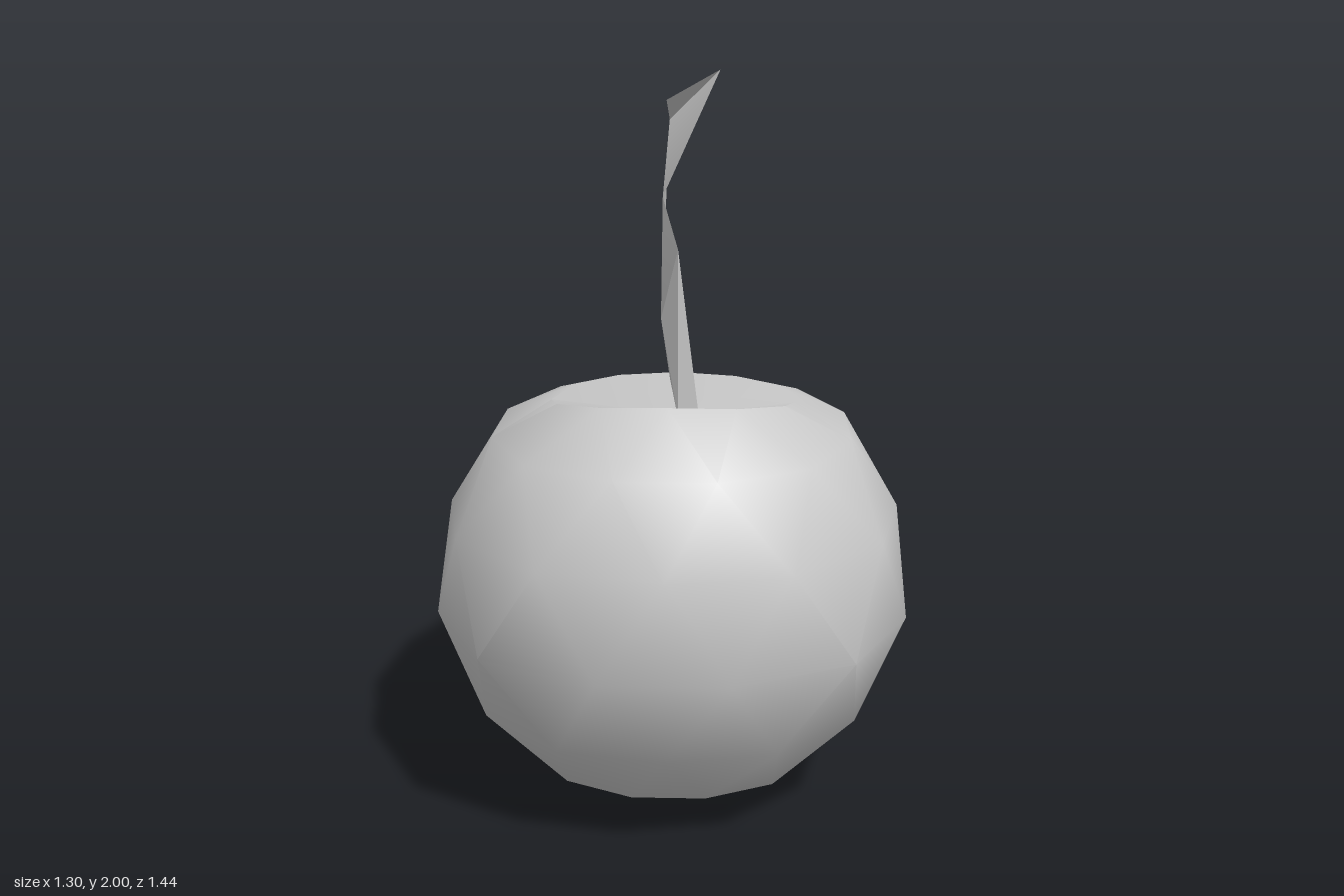
import * as THREE from 'three';
import { toCreasedNormals } from 'three/addons/utils/BufferGeometryUtils.js';

const grey = () => new THREE.MeshStandardMaterial({ color: 0xcccccc, side: THREE.DoubleSide });

function meshFrom(name, points, faces, crease) {
  const geo = new THREE.BufferGeometry();
  geo.setAttribute('position', new THREE.Float32BufferAttribute(points.flat(), 3));
  geo.setIndex(faces.flat());
  const mesh = new THREE.Mesh(toCreasedNormals(geo, crease), grey());
  mesh.name = name;
  return mesh;
}

// Faceted fruit: staggered oval rings, with a shallow hollow at the top
function makeFruit() {
  const sides = 12;
  // height at [front, side, back], half width, front reach, back reach
  const rings = [
    [0.03, 0.01, 0.01, 0.16, 0.22, 0.23],
    [0.13, 0.11, 0.12, 0.385, 0.43, 0.42],
    [0.33, 0.31, 0.32, 0.565, 0.61, 0.6],
    [0.6, 0.57, 0.59, 0.665, 0.74, 0.735],
    [0.88, 0.84, 0.8, 0.63, 0.73, 0.69],
    [1.11, 1.07, 1.04, 0.5, 0.635, 0.635],
    [1.245, 1.14, 1.12, 0.34, 0.43, 0.37],
  ];
  const points = [[0, 0, 0]];
  const faces = [];
  rings.forEach(([front, side, back, width, zFront, zBack], r) => {
    for (let i = 0; i < sides; i++) {
      const a = ((i + (r % 2) / 2) / sides) * Math.PI * 2;
      const s = Math.sin(a);
      const end = s > 0 ? front : back;
      // the front corners are fuller than the back ones
      const full = 1 + (s > 0 ? 0.05 : 0.01) * Math.sin(2 * a) ** 2;
      points.push([
        Math.cos(a) * width * full,
        side + (end - side) * Math.abs(s),
        s * (s > 0 ? zFront : zBack) * full,
      ]);
    }
  });
  const at = (r, i) => 1 + r * sides + (i + sides) % sides;
  const hollow = points.push([0.02, 1.07, -0.1]) - 1;
  const last = rings.length - 1;
  for (let i = 0; i < sides; i++) {
    faces.push([0, at(0, i), at(0, i + 1)]);
    faces.push([hollow, at(last, i + 1), at(last, i)]);
    for (let r = 0; r < last; r++) {
      // the stagger decides which way the triangles lean
      const k = r % 2;
      faces.push([at(r, i), at(r + 1, i + k), at(r, i + 1)]);
      faces.push([at(r + 1, i), at(r + 1, i + 1), at(r, i + 1 - k)]);
    }
  }
  return meshFrom('fruit', points, faces, 0.7);
}

// Twisted stem: a folded strip of triangles
function makeStem() {
  const points = [
    [0.07, 1.06, -0.09],  // 0 base right
    [0.01, 1.06, -0.09],  // 1 base front
    [-0.02, 1.1, -0.33],  // 2 base back
    [-0.04, 1.34, -0.14], // 3 lower fold
    [0.01, 1.55, -0.08],  // 4 knee
    [-0.04, 1.66, -0.28], // 5 upper fold
    [-0.03, 1.84, -0.56], // 6 end back
    [0.12, 2, -0.44],     // 7 tip
    [-0.03, 1.93, -0.31], // 8 end front
  ];
  const faces = [
    [0, 2, 3], [1, 3, 2], [0, 3, 4], [1, 4, 3], [0, 4, 1],
    [4, 3, 5], [3, 6, 5], [5, 6, 7], [6, 8, 7],
  ];
  return meshFrom('stem', points, faces, 0.5);
}

export function createModel() {
  const group = new THREE.Group();
  group.name = 'stemmedFruit';
  group.add(makeFruit(), makeStem());
  return group;
}
